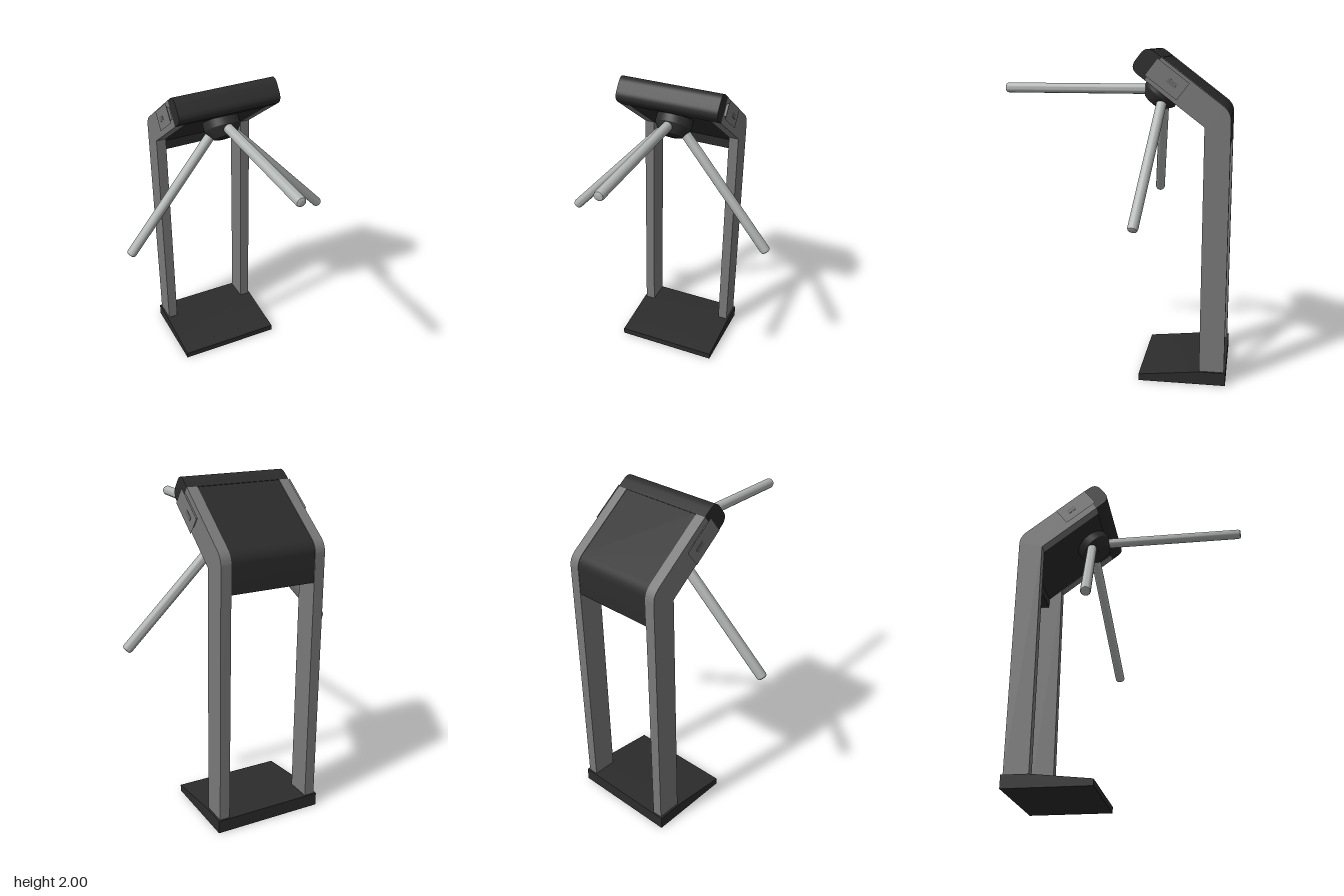
import * as THREE from 'three';
import { toCreasedNormals } from 'three/addons/utils/BufferGeometryUtils.js';

const black = new THREE.MeshStandardMaterial({ color: 0x2c2c2c });
black.name = 'blackCasing';
const grey = new THREE.MeshStandardMaterial({ color: 0x797979 });
grey.name = 'greyFrame';
const darkGrey = new THREE.MeshStandardMaterial({ color: 0x6a6a6a });
darkGrey.name = 'readerGrey';
const steel = new THREE.MeshStandardMaterial({ color: 0xb2b6b4 });
steel.name = 'steelBars';

// Slope of the head: s runs up along it, p is height above its underside
const SLOPE = Math.atan(0.76), C = Math.cos(SLOPE), S = Math.sin(SLOPE);
const onHead = (s, p) => [-0.55 + s * C - p * S, 1.565 + s * S + p * C];

// Shape in the (z, y) plane; a point with four numbers is a rounded corner
function sideShape(points) {
  const shape = new THREE.Shape();
  points.forEach((p, i) => {
    if (i === 0) shape.moveTo(p[0], p[1]);
    else if (p.length === 4) shape.quadraticCurveTo(...p);
    else shape.lineTo(p[0], p[1]);
  });
  return shape;
}

// Side profile extruded along x, centred on x = cx
function profile(name, points, width, cx, material, bevel = {}) {
  const geo = new THREE.ExtrudeGeometry(sideShape(points), {
    depth: width, bevelEnabled: false, curveSegments: 10, ...bevel,
  });
  geo.translate(0, 0, -width / 2);
  geo.rotateY(-Math.PI / 2);
  const mesh = new THREE.Mesh(toCreasedNormals(geo, 0.5), material);
  mesh.name = name;
  mesh.position.x = cx;
  return mesh;
}

export function createModel() {
  const model = new THREE.Group();
  model.name = 'turnstile';

  // Wedge base plate
  model.add(profile('base', [
    [-0.18, 0], [-0.18, 0.04], [-0.55, 0.08], [-0.71, 0.08], [-0.71, 0],
  ], 0.674, 0, black));

  // Bent posts running from the base up into the sloping head
  const postProfile = [
    [-0.55, 0.07], [-0.70, 0.07], [-0.70, 1.60],
    [-0.70, 1.652, ...onHead(-0.01, 0.16)],
    onHead(0.436, 0.16), onHead(0.436, 0), [-0.55, 1.565],
  ];
  for (const side of [-1, 1]) {
    model.add(profile(side > 0 ? 'leftPost' : 'rightPost', postProfile, 0.063, side * 0.2935, grey));
  }

  // Casing between the posts, with a lip hanging down at the back
  model.add(profile('headCasing', [
    [-0.635, 1.44], [-0.697, 1.44], [-0.697, 1.60],
    [-0.697, 1.65, ...onHead(-0.01, 0.157)],
    onHead(0.45, 0.157), onHead(0.45, 0.003), [-0.635, 1.503],
  ], 0.526, 0, black));

  // Rounded nose across the full width
  model.add(profile('headNose', [
    onHead(0.435, 0), onHead(0.435, 0.16), onHead(0.485, 0.16),
    [...onHead(0.545, 0.16), ...onHead(0.545, 0.105)],
    onHead(0.545, 0.055),
    [...onHead(0.545, 0), ...onHead(0.485, 0)],
  ], 0.65, 0, black));

  // Card readers: a bulged block showing on both flanks of the head
  model.add(profile('readerHousing', [
    onHead(0.26, 0.065), onHead(0.26, 0.105), onHead(0.41, 0.105), onHead(0.41, 0.065),
  ], 0.648, 0, grey, {
    bevelEnabled: true, bevelThickness: 0.024, bevelSize: -0.025, bevelOffset: 0.04, bevelSegments: 3,
  }));
  for (const side of [-1, 1]) {
    const [z, y] = onHead(0.30, 0.085);
    const pad = new THREE.Mesh(new THREE.BoxGeometry(0.006, 0.03, 0.06), darkGrey);
    pad.name = side > 0 ? 'leftReaderPad' : 'rightReaderPad';
    pad.position.set(side * 0.347, y, z);
    pad.rotation.x = -SLOPE;
    model.add(pad);
  }

  // Hub under the head, turning about the head's normal
  const pivot = new THREE.Vector3(0, 1.76, -0.285);
  const axis = new THREE.Vector3(0, -0.776, 0.631).normalize();
  const up = new THREE.Vector3(0, 1, 0);
  const hubPoints = [[0, -0.04], [0.114, -0.04], [0.114, 0.045], [0.105, 0.06], [0.07, 0.105], [0.055, 0.11], [0, 0.11]]
    .map(([r, h]) => new THREE.Vector2(r, h));
  const hub = new THREE.Mesh(toCreasedNormals(new THREE.LatheGeometry(hubPoints, 32), 0.5), black);
  hub.name = 'hub';
  hub.position.copy(pivot);
  hub.quaternion.setFromUnitVectors(up, axis);
  model.add(hub);

  // Three bars spread evenly about the hub axis, the first level and forward
  const barPoints = [[0, 0.03], [0.031, 0.03], [0.031, 0.985], [0.027, 0.996], [0.02, 1], [0, 1]]
    .map(([r, h]) => new THREE.Vector2(r, h));
  const barGeo = toCreasedNormals(new THREE.LatheGeometry(barPoints, 24), 0.6);
  ['frontBar', 'sideBarA', 'sideBarB'].forEach((name, i) => {
    const dir = new THREE.Vector3(0, 0, 1).applyAxisAngle(axis, i * Math.PI * 2 / 3);
    const bar = new THREE.Mesh(barGeo, steel);
    bar.name = name;
    bar.position.copy(pivot);
    bar.quaternion.setFromUnitVectors(up, dir);
    model.add(bar);
  });

  return model;
}
